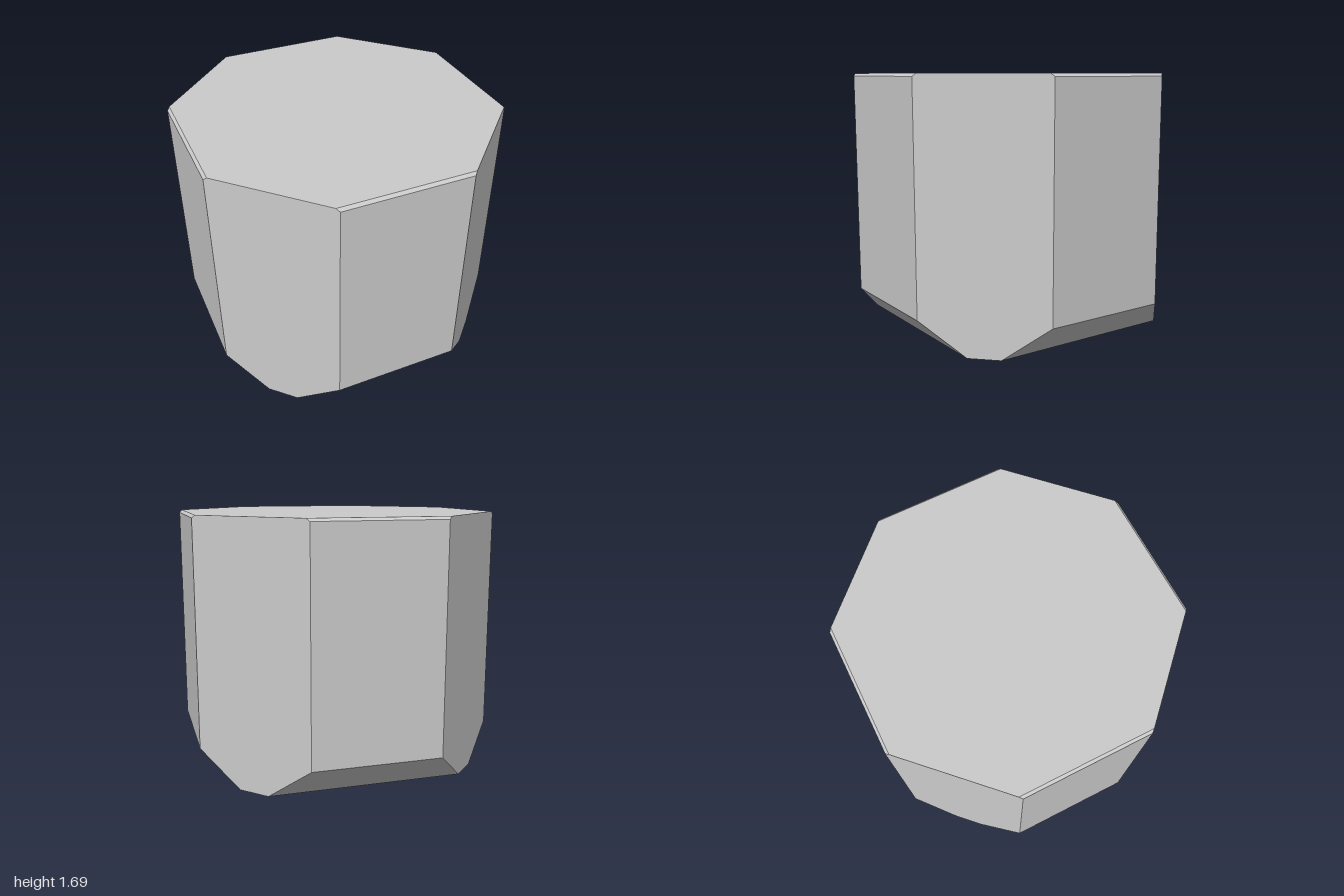
import * as THREE from 'three';

// Octagon with diagonal sides fixed at |x| + |z| = DIAGONAL and square sides at distance w
const DIAGONAL = 1.418;

function octagon(w, y) {
  const c = DIAGONAL - w;
  // counter-clockwise seen from above
  return [[-c, w], [c, w], [w, c], [w, -c], [c, -w], [-c, -w], [-w, -c], [-w, c]]
    .map(([x, z]) => [x, y, z]);
}

// Skins stacked rings and closes both ends
function loft(rings) {
  const positions = [];
  const tri = (a, b, c) => positions.push(...a, ...b, ...c);
  const n = rings[0].length;
  for (let r = 0; r < rings.length - 1; r++) {
    for (let i = 0; i < n; i++) {
      const j = (i + 1) % n;
      const lo = rings[r], hi = rings[r + 1];
      tri(lo[i], lo[j], hi[j]);
      tri(lo[i], hi[j], hi[i]);
    }
  }
  const bottom = rings[0], top = rings[rings.length - 1];
  for (let i = 1; i < n - 1; i++) {
    tri(top[0], top[i], top[i + 1]);
    tri(bottom[0], bottom[i + 1], bottom[i]);
  }
  const geometry = new THREE.BufferGeometry();
  geometry.setAttribute('position', new THREE.Float32BufferAttribute(positions, 3));
  geometry.computeVertexNormals();
  return geometry;
}

export function createModel() {
  const group = new THREE.Group();
  group.name = 'octagonalBlock';

  // Octagonal block: wide bevel at the base and a thin one at the top, on the square sides only
  const block = new THREE.Mesh(
    loft([
      octagon(0.783, 0),
      octagon(1, 0.217),
      octagon(1, 1.672),
      octagon(0.982, 1.69),
    ]),
    new THREE.MeshStandardMaterial({ color: 0xcccccc, flatShading: true }),
  );
  block.name = 'bevelledBlock';
  group.add(block);
  return group;
}
